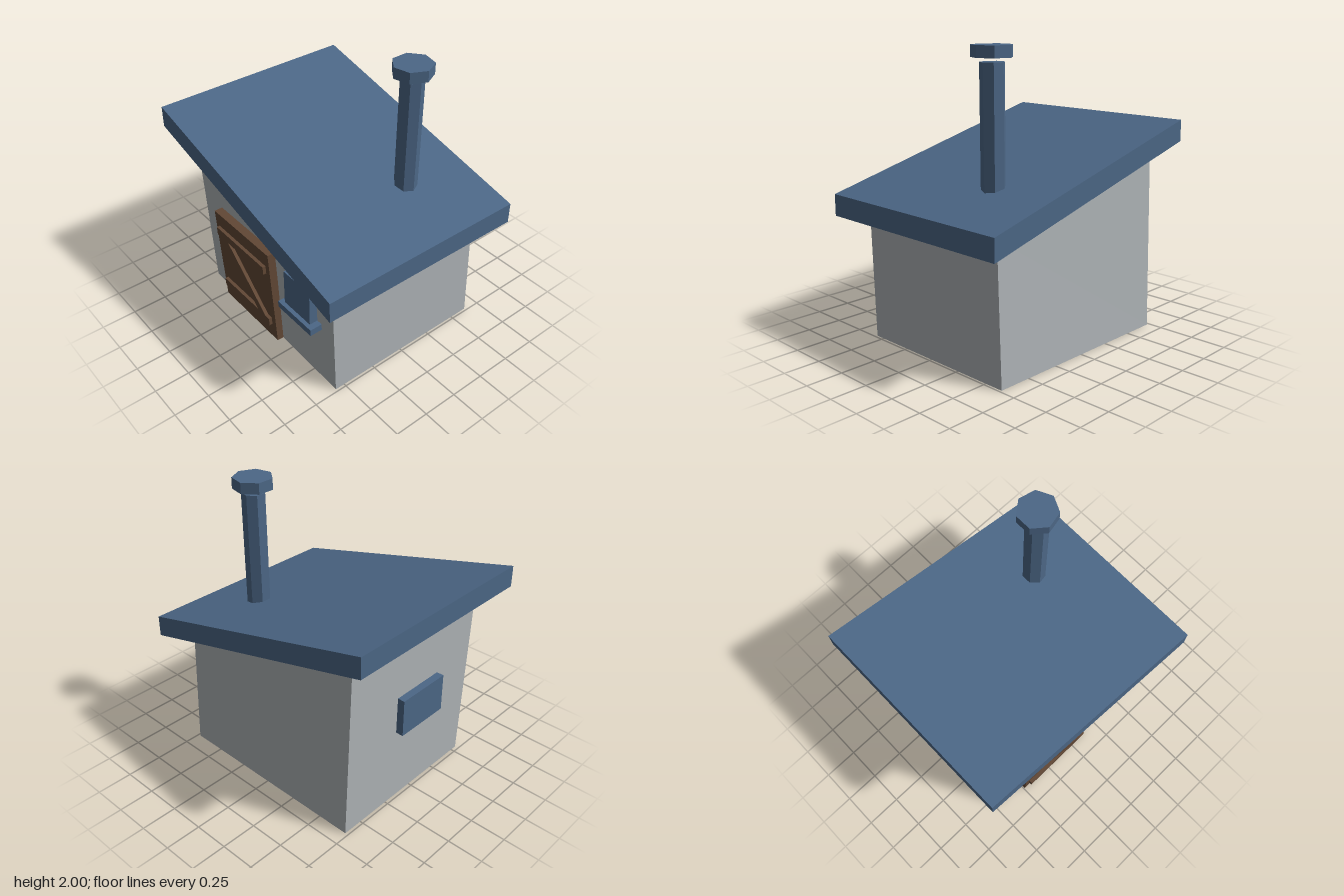
import * as THREE from 'three';

// Solid between a front and a back outline of [x, y, z] points, both counter-clockwise seen from the front
function loft(front, back) {
  const n = front.length, pos = [];
  const tri = (...p) => p.forEach((v) => pos.push(...v));
  for (let i = 1; i < n - 1; i++) {
    tri(front[0], front[i], front[i + 1]);
    tri(back[0], back[i + 1], back[i]);
  }
  for (let i = 0; i < n; i++) {
    const j = (i + 1) % n;
    tri(front[i], back[i], back[j]);
    tri(front[i], back[j], front[j]);
  }
  const g = new THREE.BufferGeometry();
  g.setAttribute('position', new THREE.Float32BufferAttribute(pos, 3));
  g.computeVertexNormals();
  return g;
}

export function createModel() {
  const model = new THREE.Group();
  model.name = 'shed';
  const blue = new THREE.MeshStandardMaterial({ name: 'slate blue', color: 0x4c6786 });
  const grey = new THREE.MeshStandardMaterial({ name: 'wall grey', color: 0xaeb3b6 });
  const brown = new THREE.MeshStandardMaterial({ name: 'door brown', color: 0x624835 });
  for (const m of [blue, grey, brown]) m.flatShading = true;

  const add = (name, geometry, material, parent = model) => {
    const mesh = new THREE.Mesh(geometry, material);
    mesh.name = name;
    parent.add(mesh);
    return mesh;
  };
  const box = (name, x0, x1, y0, y1, z0, z1, material) =>
    add(name, new THREE.BoxGeometry(x1 - x0, y1 - y0, z1 - z0), material)
      .position.set((x0 + x1) / 2, (y0 + y1) / 2, (z0 + z1) / 2);

  // Walls, flaring slightly towards the top
  add('walls', loft(
    [[-0.722, 0, 0.55], [0.731, 0, 0.57], [0.731, 0.92, 0.603], [-0.735, 1.29, 0.605]],
    [[-0.728, 0, -0.645], [0.733, 0, -0.635], [0.733, 0.92, -0.6], [-0.737, 1.29, -0.61]]), grey);

  // Sloping roof slab
  add('roof', loft(
    [[-0.908, 1.312, 0.745], [0.9, 0.852, 0.755], [0.9, 1, 0.755], [-0.908, 1.46, 0.745]],
    [[-0.91, 1.312, -0.738], [0.91, 0.852, -0.757], [0.91, 1, -0.757], [-0.91, 1.46, -0.738]]), blue);

  // Door: outlines lean with the front wall
  const door = new THREE.Group();
  door.name = 'door';
  model.add(door);
  const panel = (name, outline, z0, z1) => {
    const at = (z) => outline.map(([x, y]) => [x, y, z + y * 0.05]);
    add(name, loft(at(z1), at(z0)), brown, door);
  };
  panel('doorPanel', [[-0.493, 0.004], [0.137, 0.004], [0.127, 0.787], [-0.503, 0.781]], 0.55, 0.61);
  panel('lowerBatten', [[-0.456, 0.125], [0.09, 0.132], [0.092, 0.196], [-0.456, 0.19]], 0.6, 0.634);
  panel('upperBatten', [[-0.463, 0.608], [0.088, 0.608], [0.088, 0.672], [-0.463, 0.672]], 0.6, 0.634);
  panel('diagonalBrace', [[-0.038, 0.194], [0.05, 0.195], [-0.333, 0.608], [-0.418, 0.608]], 0.6, 0.634);

  // Windows
  box('frontWindow', 0.298, 0.563, 0.51, 0.772, 0.56, 0.647, blue);
  box('windowSill', 0.262, 0.606, 0.46, 0.508, 0.56, 0.675, blue);
  box('sideWindow', -0.784, -0.7, 0.54, 0.808, -0.17, 0.235, blue);

  // Seven-sided chimney, leaning slightly, with a cap floating just above it
  const chimney = (name, r, y0, y1, x, lean) => {
    const mesh = add(name, new THREE.CylinderGeometry(r, r, y1 - y0, 7, 1, false, Math.PI / 2), blue);
    mesh.position.set(x, (y0 + y1) / 2, -0.262);
    mesh.rotation.z = -lean;
  };
  chimney('chimneyPipe', 0.08, 1.03, 1.897, 0.426, 0.008);
  chimney('chimneyCap', 0.134, 1.925, 2, 0.43, 0);

  return model;
}
